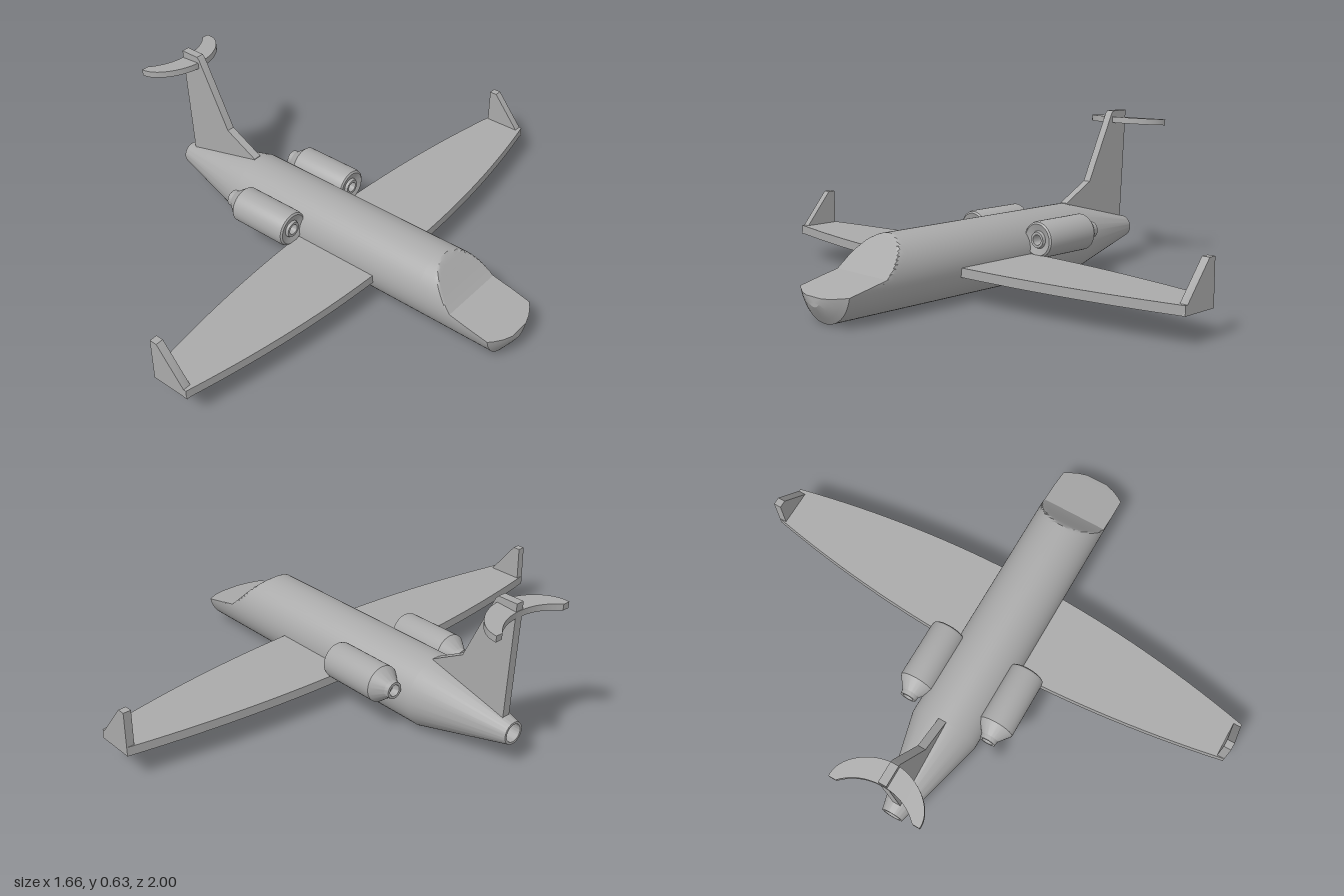
import * as THREE from 'three';
import { toCreasedNormals } from 'three/addons/utils/BufferGeometryUtils.js';

const AXIS_Z = 0.027; // centre line of the aircraft
const AXIS_Y = 0.141;

// Skin over elliptical sections along x; each section is cut flat at height "top".
function loft(sections, sides) {
  const pos = [], idx = [];
  for (const { x, ry, rz, top = 9 } of sections) {
    const h = (top - AXIS_Y) / ry;
    const w = rz * Math.sqrt(Math.max(0, 1 - h * h));
    for (let j = 0; j < sides; j++) {
      const a = (j / sides) * Math.PI * 2;
      let y = AXIS_Y + ry * Math.sin(a), z = rz * Math.cos(a);
      if (y > top) {
        y = top;
        z = THREE.MathUtils.clamp(z, -w, w);
      }
      pos.push(x, y, z);
    }
  }
  const n = sections.length;
  for (let i = 0; i < n - 1; i++) {
    for (let j = 0; j < sides; j++) {
      const k = (j + 1) % sides;
      const a = i * sides + j, b = i * sides + k;
      idx.push(a, a + sides, b, b, a + sides, b + sides);
    }
  }
  // end caps
  const first = sections[0], last = sections[n - 1];
  const c0 = pos.length / 3, c1 = c0 + 1, e = (n - 1) * sides;
  pos.push(first.x, AXIS_Y, 0, last.x, Math.min(AXIS_Y, last.top) - 0.02, 0);
  for (let j = 0; j < sides; j++) {
    const k = (j + 1) % sides;
    idx.push(c0, j, k, c1, e + k, e + j);
  }
  const g = new THREE.BufferGeometry();
  g.setAttribute('position', new THREE.Float32BufferAttribute(pos, 3));
  g.setIndex(idx);
  return toCreasedNormals(g, 0.45);
}

function plate(shape, depth) {
  const g = new THREE.ExtrudeGeometry(shape, { depth, bevelEnabled: false, curveSegments: 24 });
  return toCreasedNormals(g, 0.5);
}

const polygon = (pts) => new THREE.Shape(pts.map(([x, y]) => new THREE.Vector2(x, y)));

export function createModel() {
  const model = new THREE.Group();
  model.name = 'businessJet';
  const grey = new THREE.MeshStandardMaterial({ color: 0xaaaaaa });
  grey.name = 'plain grey';
  const add = (name, geometry) => {
    const mesh = new THREE.Mesh(geometry, grey);
    mesh.name = name;
    model.add(mesh);
    return mesh;
  };

  // Fuselage: hollow tail end, cone, tube, sloped windscreen cut and blunt nose
  const R = 0.137;
  const sections = [
    { x: -0.72, ry: 0.034, rz: 0.034 },
    { x: -0.785, ry: 0.034, rz: 0.034 },
    { x: -0.785, ry: 0.043, rz: 0.043 },
    { x: -0.41, ry: R, rz: R },
    { x: 0.48, ry: R, rz: R },
  ];
  for (let i = 0; i <= 12; i++) {
    const t = i / 12;
    const top = 0.278 - 0.128 * t + 0.016 * Math.sin(Math.PI * Math.sqrt(t)) * (1 - t);
    sections.push({ x: 0.49 + 0.135 * t, ry: R, rz: R, top });
  }
  sections.push(
    { x: 0.7, ry: R, rz: R, top: 0.134 },
    { x: 0.785, ry: R, rz: R, top: 0.115 },
    { x: 0.8, ry: 0.116, rz: 0.117, top: 0.112 },
    { x: 0.817, ry: 0.092, rz: 0.088, top: 0.108 },
    { x: 0.83, ry: 0.071, rz: 0.05, top: 0.105 },
  );
  add('fuselage', loft(sections, 64)).position.z = AXIS_Z;

  // Wing: one plate with parabolic leading and trailing edges
  const edge = [], rear = [];
  for (let i = 0; i <= 32; i++) {
    const z = -1 + i / 16;
    edge.push([0.285 - 0.113 * z * z, z]);
    rear.unshift([-0.08 + 0.1 * z * z, z]);
  }
  const wing = plate(polygon([...edge, ...rear]), 0.035);
  wing.rotateX(Math.PI / 2);
  add('wing', wing).position.y = 0.14;

  // Winglets
  const wingletShape = polygon([[0.02, 0.105], [0.175, 0.105], [0.17, 0.13], [0.05, 0.275], [0.02, 0.275]]);
  for (const [name, z] of [['rightWinglet', 0.97], ['leftWinglet', -1]]) {
    add(name, plate(wingletShape, 0.03)).position.z = z;
  }

  // Engines: nacelle with exhaust and intake hub
  const profile = [
    [0, -0.35], [0.02, -0.35], [0.022, -0.38], [0.032, -0.38], [0.034, -0.362], [0.07, -0.315],
    [0.07, -0.085], [0.067, -0.075], [0.06, -0.07], [0.034, -0.078], [0.03, -0.068],
    [0.02, -0.068], [0.017, -0.11], [0, -0.11],
  ].map(([r, x]) => new THREE.Vector2(r, x));
  for (const [name, side] of [['rightEngine', 1], ['leftEngine', -1]]) {
    const g = new THREE.LatheGeometry(profile, 40);
    g.rotateZ(-Math.PI / 2);
    add(name, toCreasedNormals(g, 0.5)).position.set(0, 0.198, AXIS_Z + side * 0.173);
  }

  // Tail fin with a swept fillet running onto the fuselage
  const fin = plate(polygon([
    [-0.745, 0.16], [-0.41, 0.25], [-0.41, 0.28], [-0.55, 0.355],
    [-0.685, 0.625], [-0.695, 0.635], [-0.775, 0.635],
  ]), 0.032);
  add('tailFin', fin).position.z = AXIS_Z - 0.016;

  // Crescent tailplane, tilted slightly nose up
  const crescent = new THREE.Shape();
  crescent.moveTo(-0.145, -0.178);
  crescent.bezierCurveTo(-0.07, -0.185, 0, -0.09, 0, 0);
  crescent.bezierCurveTo(0, 0.09, -0.07, 0.185, -0.145, 0.178);
  crescent.lineTo(-0.145, 0.15);
  crescent.bezierCurveTo(-0.105, 0.11, -0.085, 0.06, -0.085, 0);
  crescent.bezierCurveTo(-0.085, -0.06, -0.105, -0.11, -0.145, -0.15);
  const tailplane = plate(crescent, 0.024);
  tailplane.rotateX(Math.PI / 2);
  const tail = add('tailplane', tailplane);
  tail.position.set(-0.69, 0.611, AXIS_Z);
  tail.rotation.z = 0.07;

  return model;
}
